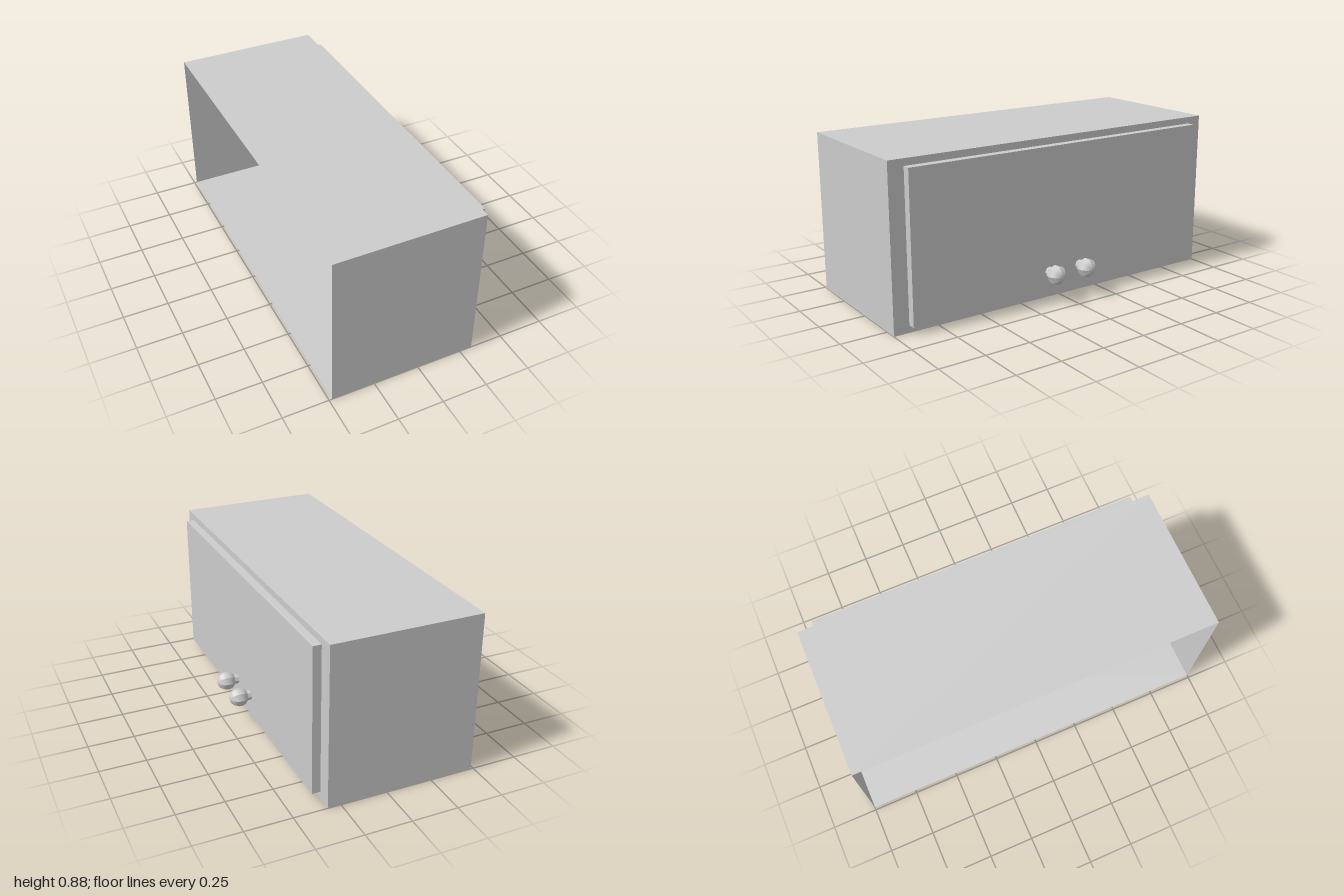
import * as THREE from 'three';

// Rectangular cross-section facing +x, counter-clockwise seen from +x
const rect = (x, y0, y1, z) => [[x, y0, z], [x, y0, -z], [x, y1, -z], [x, y1, z]];

// Flat quads from corner lists
function quads(list) {
  const pos = [];
  for (const [a, b, c, d] of list) pos.push(...a, ...b, ...c, ...a, ...c, ...d);
  const geo = new THREE.BufferGeometry();
  geo.setAttribute('position', new THREE.Float32BufferAttribute(pos, 3));
  geo.computeVertexNormals();
  return geo;
}

// Four quads joining two cross-sections
const band = (a, b) => a.map((p, i) => [p, a[(i + 1) % 4], b[(i + 1) % 4], b[i]]);

export function createModel() {
  const group = new THREE.Group();
  const grey = new THREE.MeshStandardMaterial({ color: 0xcccccc, side: THREE.DoubleSide, flatShading: true });
  grey.name = 'light grey';

  const add = (name, geo) => {
    const mesh = new THREE.Mesh(geo, grey);
    mesh.name = name;
    group.add(mesh);
    return mesh;
  };

  const back = rect(-0.485, 0, 0.875, 1);
  const front = rect(0.32, 0, 0.875, 1);
  const opening = rect(0.32, 0.04, 0.838, 0.915);
  const face = rect(0.365, 0.04, 0.838, 0.915);

  // Thin cabinet shell, open at the back (-x)
  add('cabinetShell', quads(band(back, front)));
  add('frontFrame', quads(band(front, opening)));
  // Raised door panel, hollow behind
  add('doorPanel', quads([...band(opening, face), face]));

  // Eight-sided ball knobs on short necks
  const r = 0.052, neck = 0.028, centre = 0.065;
  const start = Math.asin(neck / r);
  const profile = [new THREE.Vector2(neck, 0)];
  for (let i = 0; i <= 16; i++) {
    const t = start + (Math.PI - start) * i / 16;
    profile.push(new THREE.Vector2(Math.max(0, r * Math.sin(t)), centre - r * Math.cos(t)));
  }
  const knobGeo = new THREE.LatheGeometry(profile, 8);
  knobGeo.rotateZ(-Math.PI / 2);
  for (const [name, z] of [['knobFront', 0.1], ['knobBack', -0.1]]) {
    add(name, knobGeo).position.set(0.365, 0.162, z);
  }
  return group;
}
